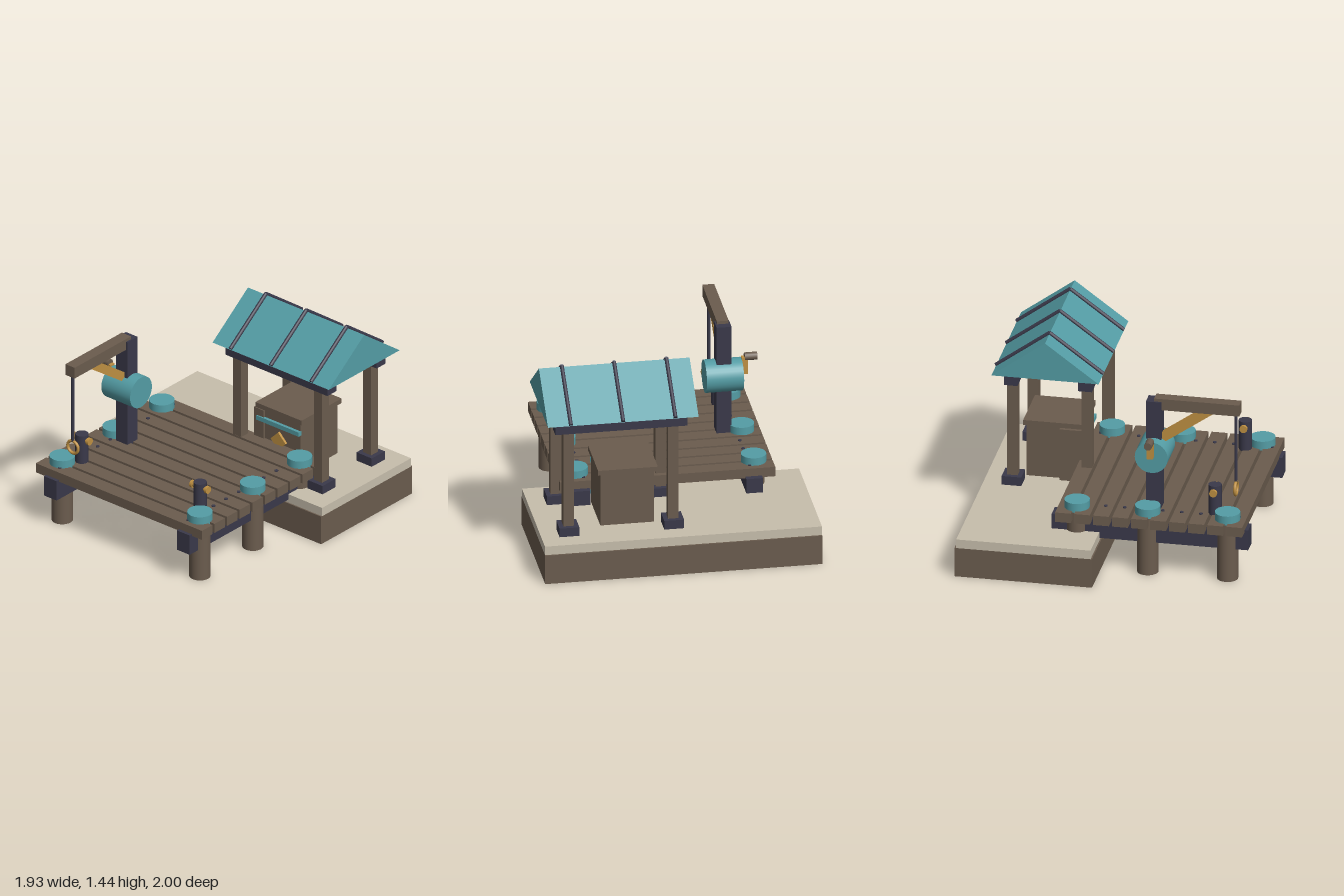
import * as THREE from 'three';

const mat = (name, color) => {
  const m = new THREE.MeshStandardMaterial({ color });
  m.name = name;
  return m;
};

export function createModel() {
  const wood = mat('wood', 0x6b5c4e);
  const iron = mat('dark iron', 0x3a394a);
  const teal = mat('teal paint', 0x549da5);
  const brass = mat('brass', 0xbf9042);
  const stone = mat('stone', 0xc7beac);

  const root = new THREE.Group();
  root.name = 'fishingDock';
  const group = (name) => {
    const g = new THREE.Group();
    g.name = name;
    root.add(g);
    return g;
  };
  const add = (parent, name, geo, m, x = 0, y = 0, z = 0) => {
    const mesh = new THREE.Mesh(geo, m);
    mesh.name = name;
    mesh.position.set(x, y, z);
    parent.add(mesh);
    return mesh;
  };
  // Box given by its extents on each axis
  const box = (parent, name, m, [x0, x1], [y0, y1], [z0, z1]) =>
    add(parent, name, new THREE.BoxGeometry(x1 - x0, y1 - y0, z1 - z0), m,
      (x0 + x1) / 2, (y0 + y1) / 2, (z0 + z1) / 2);
  // Cylinder between two points
  const rod = (parent, name, m, a, b, r, sides = 24) => {
    const p = new THREE.Vector3(...a), q = new THREE.Vector3(...b);
    const dir = q.clone().sub(p);
    const mesh = add(parent, name, new THREE.CylinderGeometry(r, r, dir.length(), sides), m);
    mesh.position.copy(p).add(q).multiplyScalar(0.5);
    mesh.quaternion.setFromUnitVectors(new THREE.Vector3(0, 1, 0), dir.normalize());
    return mesh;
  };
  const around = (c, w) => [c - w / 2, c + w / 2];

  // Quay
  const quay = group('quay');
  box(quay, 'quayBase', wood, [-0.968, 0.966], [0, 0.215], [-1, -0.035]);
  box(quay, 'quaySlab', stone, [-0.968, 0.966], [0.215, 0.28], [-0.988, -0.045]);

  // Deck planks with nails
  const deck = group('deck');
  for (let i = 0; i < 10; i++) {
    const z = 0.92 - i * 0.1335;
    box(deck, 'plank', wood, [-0.753, 0.75], [0.375, 0.446], around(z, 0.111));
    for (const x of [-0.583, 0.579]) rod(deck, 'nail', iron, [x, 0.44, z], [x, 0.453, z], 0.013, 10);
  }
  // Stringers, piles and pile caps
  for (const s of [-1, 1]) {
    box(deck, 'stringer', iron, around(s * 0.602, 0.116), [0.237, 0.388], [-0.38, 1]);
    for (const z of [0.848, 0.288, -0.208]) {
      const x = s * 0.623;
      rod(deck, 'pile', wood, [x, 0, z], [x, 0.44, z], 0.074);
      rod(deck, 'pileCap', teal, [x, 0.435, z], [x, 0.502, z], 0.088);
    }
  }

  // Mooring bollards with brass cross pins
  for (const s of [-1, 1]) {
    const bollard = group('bollard');
    const x = s * 0.535, y = 0.62, z = 0.743;
    rod(bollard, 'bollardPost', iron, [x, 0.44, z], [x, 0.66, z], 0.046);
    rod(bollard, 'bollardPin', brass, [x - 0.07, y, z], [x + 0.07, y, z], 0.018, 16);
    for (const e of [-1, 1])
      rod(bollard, 'pinKnob', brass, [x + e * 0.057, y, z], [x + e * 0.077, y, z], 0.027, 16);
  }

  // Crane
  const crane = group('crane');
  const cx = -0.497, cz = 0.313;
  box(crane, 'craneMast', iron, around(cx, 0.105), [0.4, 1.25], around(cz, 0.107));
  box(crane, 'craneBoom', wood, around(cx, 0.083), [1.188, 1.272], [0.315, 0.913]);
  const brace = add(crane, 'craneBrace', new THREE.BoxGeometry(0.05, 0.064, 0.46), brass, cx, 1.078, 0.523);
  brace.rotation.x = -Math.atan(0.705);
  rod(crane, 'winchDrum', teal, [cx - 0.13, 0.863, cz], [cx + 0.13, 0.863, cz], 0.116, 32);
  box(crane, 'crankArm', brass, [-0.668, -0.626], [0.868, 0.99], around(0.31, 0.042));
  rod(crane, 'crankHandle', wood, [-0.735, 0.993, 0.31], [-0.647, 0.993, 0.31], 0.028, 16);
  rod(crane, 'rope', iron, [cx, 0.67, 0.882], [cx, 1.2, 0.882], 0.012, 12);
  add(crane, 'hookRing', new THREE.TorusGeometry(0.047, 0.011, 10, 28), brass, cx, 0.625, 0.882);

  // Shelter posts, feet and beams
  const shelter = group('shelter');
  for (const z of [-0.265, -0.787]) {
    for (const x of [0.041, 0.772]) {
      box(shelter, 'postFoot', iron, around(x, 0.138), [0.28, 0.345], around(z, 0.138));
      box(shelter, 'shelterPost', wood, around(x, 0.074), [0.34, 1.06], around(z, 0.074));
    }
    box(shelter, 'shelterBeam', iron, [-0.055, 0.867], [1.05, 1.146], around(z, 0.096));
  }
  // Gabled roof: triangle extruded along x
  const ridgeZ = -0.533, eave = 0.376, y0 = 1.146, y1 = 1.422;
  const gable = new THREE.Shape();
  gable.moveTo(-eave, 0);
  gable.lineTo(eave, 0);
  gable.lineTo(0, y1 - y0);
  const roofGeo = new THREE.ExtrudeGeometry(gable, { depth: 1.052, bevelEnabled: false });
  roofGeo.rotateY(Math.PI / 2);
  add(shelter, 'roof', roofGeo, teal, -0.121, y0, ridgeZ);
  for (const x of [0.041, 0.406, 0.771])
    for (const s of [-1, 1])
      rod(shelter, 'roofRib', iron, [x, y0 + 0.008, ridgeZ + s * 0.377], [x, y1 + 0.008, ridgeZ], 0.014, 12);

  // Cabinet under the shelter
  const cabinet = group('cabinet');
  box(cabinet, 'cabinetBody', wood, [0.157, 0.533], [0.28, 0.67], [-0.717, -0.325]);
  box(cabinet, 'cabinetTop', wood, [0.135, 0.552], [0.67, 0.706], [-0.737, -0.312]);
  box(cabinet, 'cabinetSidePanel', wood, [0.12, 0.21], [0.28, 0.665], [-0.48, -0.312]);
  for (const y of [0.595, 0.36])
    box(cabinet, 'cabinetBand', teal, [0.15, 0.535], around(y, 0.033), [-0.33, -0.302]);
  const badge = add(cabinet, 'diamondPlate', new THREE.BoxGeometry(0.096, 0.096, 0.02), brass, 0.344, 0.475, -0.317);
  badge.rotation.z = Math.PI / 4;

  return root;
}
